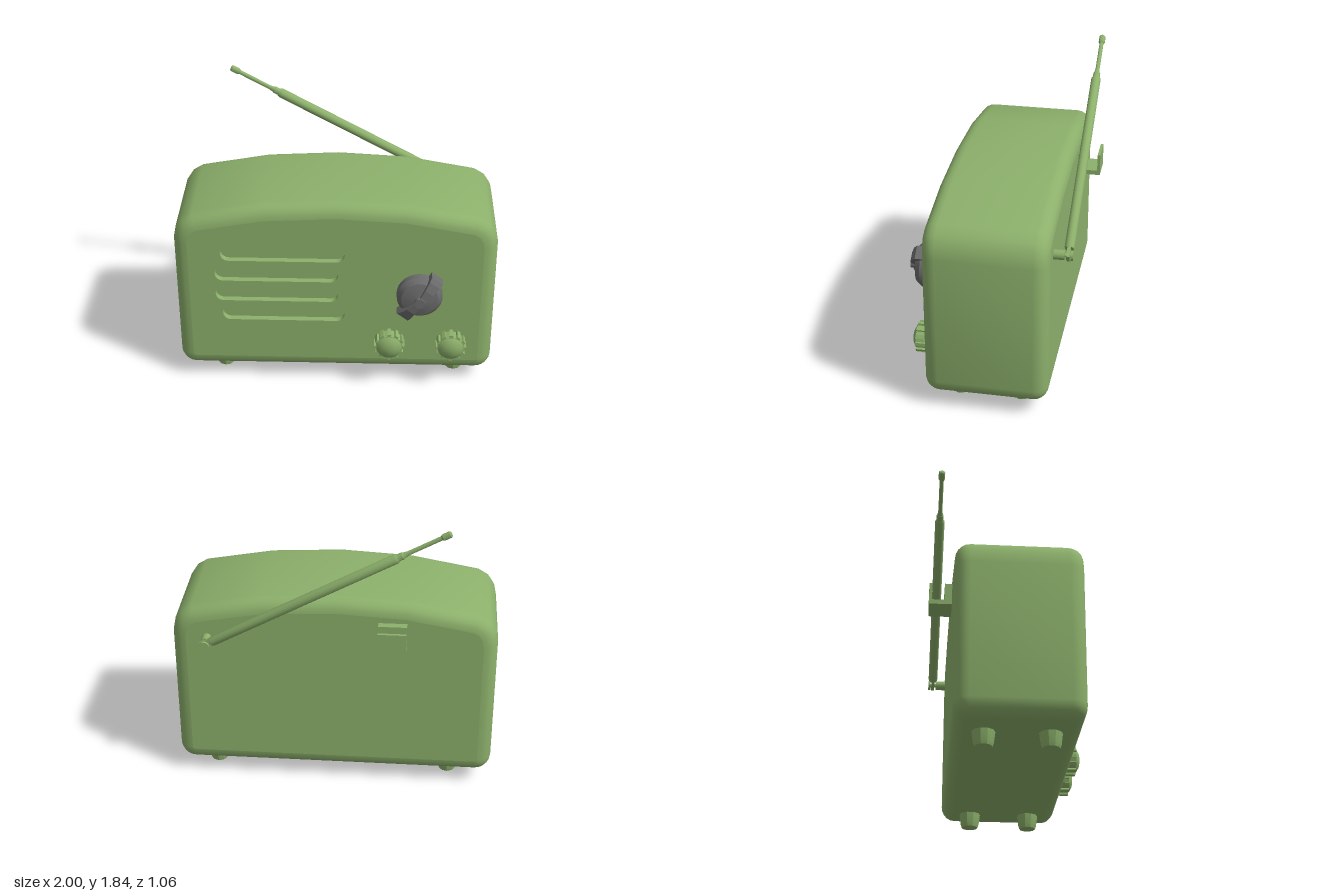
import * as THREE from 'three';
import { toCreasedNormals } from 'three/addons/utils/BufferGeometryUtils.js';

const green = new THREE.MeshStandardMaterial({ color: 0x8cb06b });
const dark = new THREE.MeshStandardMaterial({ color: 0x6c6c6c });
const V2 = (x, y) => new THREE.Vector2(x, y);

function add(parent, name, geometry, material = green, x = 0, y = 0, z = 0) {
  const mesh = new THREE.Mesh(geometry, material);
  mesh.name = name;
  mesh.position.set(x, y, z);
  parent.add(mesh);
  return mesh;
}

// Turned part along +y from [radius, height] pairs
const turned = (profile, sides, crease = 0.6) =>
  toCreasedNormals(new THREE.LatheGeometry(profile.map(p => V2(...p)), sides), crease);

const extrude = (shape, depth) =>
  new THREE.ExtrudeGeometry(shape, { depth, bevelEnabled: false, curveSegments: 8 });

// Body silhouette, counter-clockwise from the bottom right corner
function bodyOutline() {
  const right = [];
  for (let i = 0; i <= 5; i++) {
    const a = -Math.PI / 2 + (i / 5) * Math.PI / 2;
    right.push(V2(0.9 + 0.1 * Math.cos(a), 0.19 + 0.1 * Math.sin(a)));
  }
  right.push(V2(1, 1.03), V2(0.985, 1.105), V2(0.945, 1.168), V2(0.88, 1.208), V2(0.447, 1.286));
  const left = right.map(p => V2(-p.x, p.y)).reverse();
  return [...right, V2(0, 1.31), ...left];
}

// Move every outline point inward by d along its mitred normal
function inset(points, d) {
  const n = points.length;
  return points.map((p, i) => {
    const e1 = p.clone().sub(points[(i + n - 1) % n]).normalize();
    const e2 = points[(i + 1) % n].clone().sub(p).normalize();
    const n1 = V2(-e1.y, e1.x), n2 = V2(-e2.y, e2.x);
    return p.clone().addScaledVector(n1.clone().add(n2), d / (1 + n1.dot(n2)));
  });
}

const FRONT = 0.362, BACK = -0.39, BEVEL = 0.088;

// Rounded shell lofted through inset outlines, open at both ends
function shellGeometry(outline) {
  const rings = [];
  const steps = 5;
  for (const end of [1, -1]) {
    for (let i = 0; i <= steps; i++) {
      const a = ((end > 0 ? i : steps - i) / steps) * Math.PI / 2;
      const cut = BEVEL * (1 - Math.cos(a));
      rings.push([BEVEL * (1 - Math.sin(a)), end > 0 ? FRONT - cut : BACK + cut]);
    }
  }
  const n = outline.length, pos = [], index = [];
  rings.forEach(([d, z], k) => {
    inset(outline, d).forEach(p => pos.push(p.x, p.y, z));
    if (k === 0) return;
    for (let j = 0; j < n; j++) {
      const a = (k - 1) * n + j, b = (k - 1) * n + (j + 1) % n;
      index.push(a, a + n, b, b, a + n, b + n);
    }
  });
  const g = new THREE.BufferGeometry();
  g.setAttribute('position', new THREE.Float32BufferAttribute(pos, 3));
  g.setIndex(index);
  return toCreasedNormals(g, 0.65);
}

// Round-ended slot
function slotPath(x0, x1, y, r) {
  const p = new THREE.Path();
  p.moveTo(x0 + r, y - r);
  p.lineTo(x1 - r, y - r);
  p.absarc(x1 - r, y, r, -Math.PI / 2, Math.PI / 2);
  p.lineTo(x0 + r, y + r);
  p.absarc(x0 + r, y, r, Math.PI / 2, Math.PI * 1.5);
  return p;
}

function buildBody() {
  const body = new THREE.Group();
  body.name = 'body';
  const outline = bodyOutline();
  const face = inset(outline, BEVEL);
  add(body, 'shell', shellGeometry(outline));

  // Front panel with four speaker slots and a floor behind them
  const panel = new THREE.Shape(face);
  [[-0.71, 0.96], [-0.75, 0.812], [-0.75, 0.664], [-0.71, 0.518]].forEach(([x, y]) =>
    panel.holes.push(slotPath(x, x + 0.77, y, 0.051)));
  add(body, 'frontPanel', extrude(panel, 0.04), green, 0, 0, FRONT - 0.04);
  add(body, 'slotFloor', new THREE.BoxGeometry(0.9, 0.6, 0.02), green, -0.345, 0.74, FRONT - 0.05);
  add(body, 'backPanel', new THREE.ShapeGeometry(new THREE.Shape(face)).rotateY(Math.PI), green, 0, 0, BACK);
  return body;
}

// Large dial with a flared grip bar
function buildDial() {
  const dial = new THREE.Group();
  dial.name = 'tuningDial';
  dial.position.set(0.525, 0.725, 0);
  add(dial, 'dialDisc', turned([[0, 0.35], [0.063, 0.35], [0.063, 0.39], [0.128, 0.39], [0.142, 0.41],
    [0.142, 0.45], [0.115, 0.483], [0.03, 0.505], [0, 0.505]], 32).rotateX(Math.PI / 2), dark);
  add(dial, 'dialHub', turned([[0, 0.49], [0.033, 0.49], [0.033, 0.532], [0, 0.532]], 16)
    .rotateX(Math.PI / 2), dark);
  const side = new THREE.Shape([V2(0, 0.415), V2(0.172, 0.415), V2(0.172, 0.475), V2(0.145, 0.498),
    V2(0.09, 0.518), V2(0, 0.528)]);
  for (const turn of [0, Math.PI]) {
    const g = extrude(side, 1).translate(0, 0, -0.5);
    const p = g.attributes.position;
    for (let i = 0; i < p.count; i++) p.setZ(i, p.getZ(i) * (0.03 + 0.33 * p.getX(i)));
    g.computeVertexNormals();
    add(dial, 'dialGrip', g.rotateX(Math.PI / 2).rotateZ(0.913 + turn), dark);
  }
  return dial;
}

// Small toothed knob with a domed face
function buildKnob(x) {
  const knob = new THREE.Group();
  knob.name = 'smallKnob';
  knob.position.set(x, 0.33, 0);
  const teeth = 12, points = [];
  for (let i = 0; i < teeth; i++) {
    [[-0.25, 0.084], [-0.22, 0.098], [0.22, 0.098], [0.25, 0.084]].forEach(([o, r]) => {
      const a = ((i + o) / teeth) * Math.PI * 2;
      points.push(V2(r * Math.cos(a), r * Math.sin(a)));
    });
  }
  add(knob, 'knobRim', extrude(new THREE.Shape(points), 0.07), green, 0, 0, 0.378);
  add(knob, 'knobDome', turned([[0.084, 0.445], [0.07, 0.458], [0.042, 0.472], [0, 0.478]], 24)
    .rotateX(Math.PI / 2));
  add(knob, 'knobShaft', new THREE.CylinderGeometry(0.038, 0.038, 0.05, 16).rotateX(Math.PI / 2),
    green, 0, 0, 0.365);
  return knob;
}

// Telescopic aerial on a forked pivot
function buildAntenna() {
  const antenna = new THREE.Group();
  antenna.name = 'antenna';
  antenna.position.set(0.78, 1.02, -0.475);
  const rod = add(antenna, 'antennaRod', turned([[0, 0.045], [0.026, 0.045], [0.03, 0.055], [0.03, 1.315],
    [0.022, 1.33], [0.022, 1.36], [0.018, 1.365], [0.013, 1.395], [0.013, 1.61], [0.02, 1.62],
    [0.02, 1.665], [0.015, 1.672], [0, 1.672]], 16));
  const tongue = add(antenna, 'antennaTongue', new THREE.BoxGeometry(0.05, 0.1, 0.02).translate(0, 0.025, 0));
  rod.rotation.z = tongue.rotation.z = 1.068;
  const disc = (name, depth, z) =>
    add(antenna, name, new THREE.CylinderGeometry(0.03, 0.03, depth, 16).rotateX(Math.PI / 2), green, 0, 0, z);
  disc('pivotPost', 0.075, 0.0575);
  disc('pivotProng', 0.015, -0.0225);
  disc('pivotPin', 0.05, 0).scale.set(0.4, 0.4, 1);
  return antenna;
}

export function createModel() {
  const model = new THREE.Group();
  model.name = 'radio';
  model.add(buildBody(), buildDial(), buildKnob(0.345), buildKnob(0.735), buildAntenna());

  // Feet
  for (const x of [-0.727, 0.772]) {
    for (const z of [0.175, -0.207]) {
      add(model, 'foot', turned([[0, 0], [0.052, 0], [0.06, 0.025], [0.069, 0.1], [0, 0.1]], 10, 0.3),
        green, x, 0, z);
    }
  }

  // U-shaped clip that holds the folded aerial
  const clip = new THREE.Shape([V2(0.38, 1.03), V2(0.53, 1.03), V2(0.53, 1.17), V2(0.512, 1.17),
    V2(0.512, 1.06), V2(0.435, 1.06), V2(0.435, 1.17), V2(0.38, 1.17)]);
  add(model, 'antennaClip', extrude(clip, 0.174).rotateY(Math.PI / 2), green, -0.446);
  return model;
}
